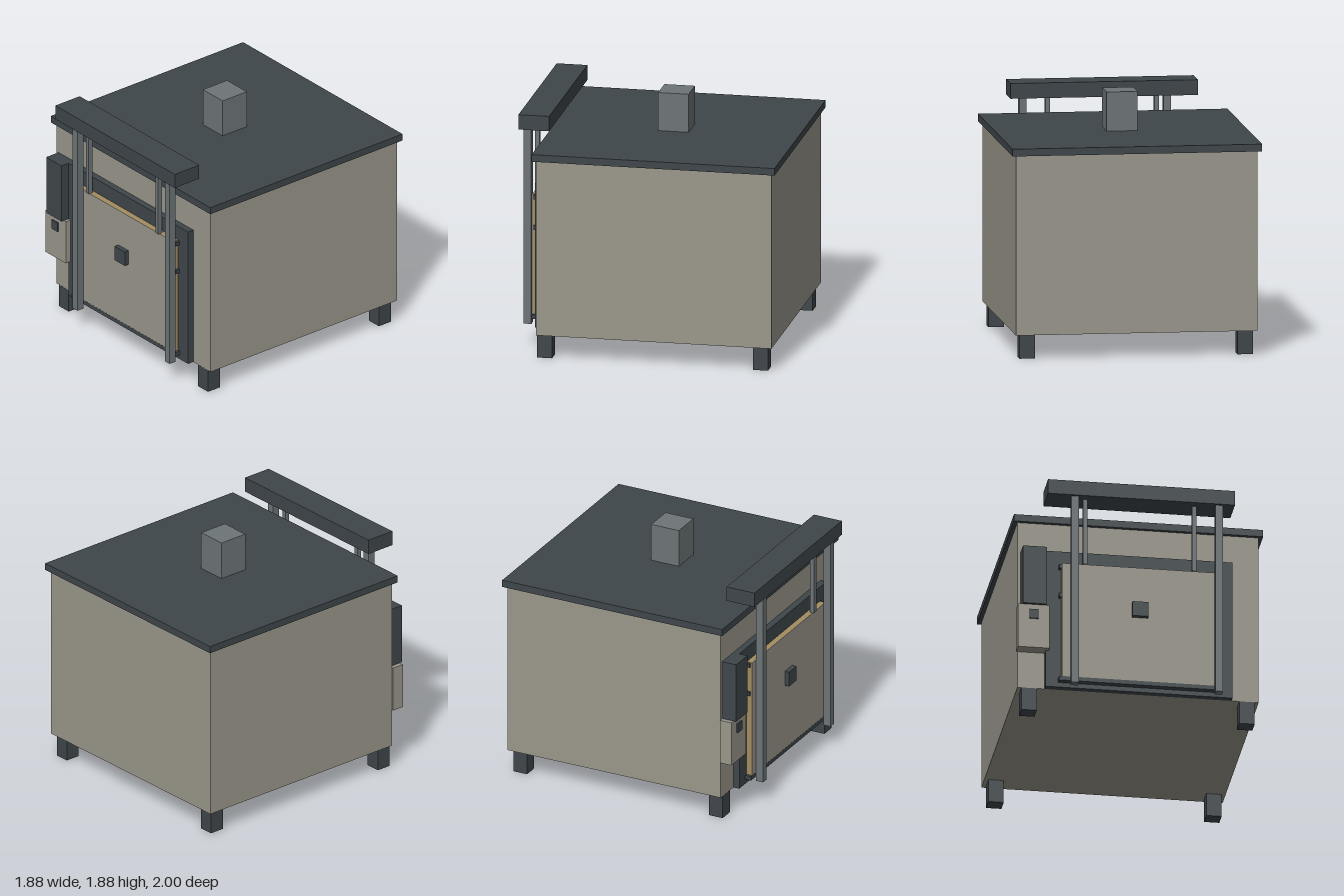
import * as THREE from 'three';

const material = (name, color) => {
  const m = new THREE.MeshStandardMaterial({ color });
  m.name = name;
  return m;
};

export function createModel() {
  const furnace = new THREE.Group();
  furnace.name = 'furnace';

  const beige = material('beigePanel', 0x9a978b);
  const dark = material('darkSteel', 0x3f464a);
  const grey = material('greySteel', 0x6d7477);
  const tan = material('tanInsulation', 0xa38c60);

  // Box given by its minimum and maximum on each axis
  const box = (name, mat, [x0, x1], [y0, y1], [z0, z1], parent = furnace) => {
    const mesh = new THREE.Mesh(new THREE.BoxGeometry(x1 - x0, y1 - y0, z1 - z0), mat);
    mesh.position.set((x0 + x1) / 2, (y0 + y1) / 2, (z0 + z1) / 2);
    mesh.name = name;
    parent.add(mesh);
    return mesh;
  };

  // Chamber, roof and flue
  box('body', beige, [-0.91, 0.91], [0.18, 1.535], [-0.97, 0.822]);
  box('roof', dark, [-0.94, 0.94], [1.535, 1.59], [-1, 0.85]);
  box('flue', grey, [-0.118, 0.115], [1.59, 1.885], [-0.175, 0.058]);

  // Four feet
  for (const x of [-0.822, 0.822]) {
    for (const z of [-0.88, 0.765]) {
      box('foot', dark, [x - 0.058, x + 0.058], [0, 0.18], [z - 0.058, z + 0.058]);
    }
  }

  // Door surround
  box('doorFrame', dark, [-0.705, 0.705], [0.18, 1.295], [0.822, 0.872]);

  // Lifting door: insulated core with a thin face plate
  const door = new THREE.Group();
  door.name = 'door';
  furnace.add(door);
  box('doorCore', tan, [-0.588, 0.588], [0.25, 1.18], [0.872, 0.914], door);
  box('doorFace', beige, [-0.588, 0.588], [0.25, 1.18], [0.914, 0.919], door);
  box('doorSill', dark, [-0.61, 0.61], [0.217, 0.25], [0.872, 0.92], door);
  box('doorHandle', dark, [-0.06, 0.06], [0.77, 0.887], [0.919, 0.955], door);
  for (const side of [-1, 1]) {
    for (const y of [0.925, 1.16]) {
      const x = side * 0.597;
      box('doorCatch', dark, [x - 0.009, x + 0.009], [y - 0.016, y + 0.016], [0.872, 0.906], door);
    }
  }

  // Hoist: posts, lifting rods and crosshead
  for (const x of [-0.498, 0.59]) {
    box('hoistPost', grey, [x - 0.028, x + 0.028], [0.18, 1.71], [0.92, 0.979]);
  }
  for (const x of [-0.413, 0.408]) {
    box('liftingRod', grey, [x - 0.017, x + 0.017], [1.18, 1.71], [0.896, 0.931]);
  }
  box('crosshead', dark, [-0.705, 0.705], [1.71, 1.825], [0.766, 1]);

  // Side duct and control box
  box('duct', dark, [-0.885, -0.705], [0.825, 1.295], [0.822, 0.94]);
  box('controlBox', beige, [-0.92, -0.682], [0.473, 0.825], [0.822, 0.918]);
  box('controlSwitch', dark, [-0.835, -0.766], [0.708, 0.782], [0.918, 0.93]);

  return furnace;
}
